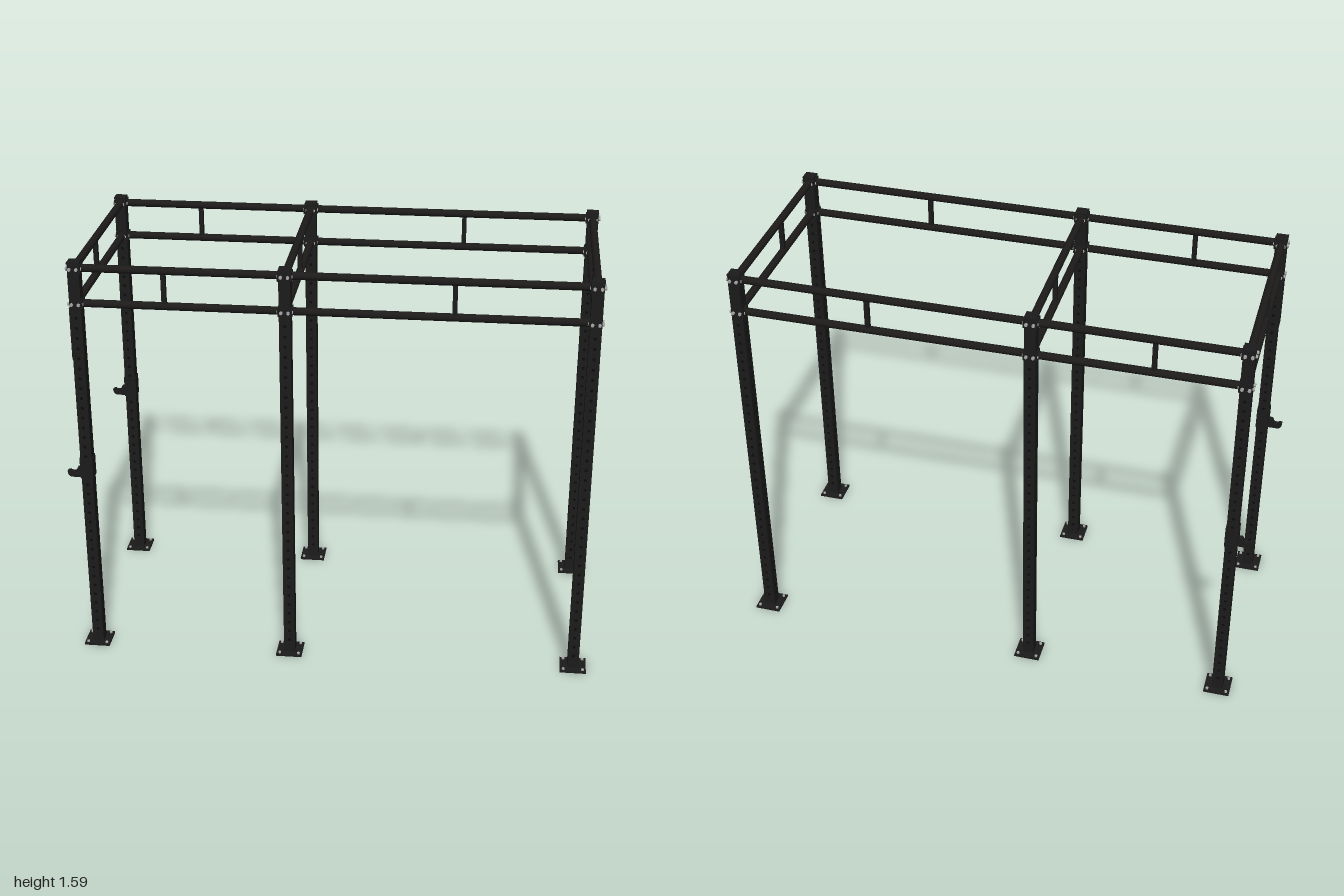
import * as THREE from 'three';

export function createModel() {
  const model = new THREE.Group();
  const mat = (name, color) => {
    const m = new THREE.MeshStandardMaterial({ color });
    m.name = name;
    return m;
  };
  const black = mat('black steel', 0x1b1b1b);
  const tubeBlack = mat('tube black', 0x1d1a1a);
  const holeBlack = mat('hole black', 0x0c0c0c);
  const silver = mat('bolt silver', 0xa8a8a8);

  const add = (parent, name, geometry, material, x, y, z) => {
    const m = new THREE.Mesh(geometry, material);
    m.name = name;
    m.position.set(x, y, z);
    parent.add(m);
    return m;
  };
  const box = (w, h, d) => new THREE.BoxGeometry(w, h, d);

  const postXs = [-0.922, -0.157, 0.948];
  const postZs = [0.383, -0.383];
  const railYs = [1.567, 1.432];
  const W = 0.043, H = 1.59;

  // Shared geometry
  const postGeo = box(W, H, W);
  const plateGeo = box(0.1, 0.007, 0.1);
  const holeGeo = new THREE.CylinderGeometry(0.006, 0.006, W + 0.002, 10);
  const boltGeo = new THREE.CylinderGeometry(0.0065, 0.0065, W + 0.016, 6);
  const anchorGeo = new THREE.CylinderGeometry(0.006, 0.006, 0.008, 6);

  // Posts with base plates, anchors, holes and through bolts
  for (const x of postXs) for (const z of postZs) {
    const post = new THREE.Group();
    post.name = 'post';
    post.position.set(x, 0, z);
    model.add(post);
    add(post, 'upright', postGeo, black, 0, H / 2, 0);
    add(post, 'cap', box(W + 0.003, 0.006, W + 0.003), black, 0, H, 0);
    add(post, 'basePlate', plateGeo, black, 0, 0.0035, 0);
    for (const sx of [-1, 1]) for (const sz of [-1, 1]) {
      add(post, 'anchorBolt', anchorGeo, silver, sx * 0.037, 0.009, sz * 0.037);
    }
    for (let y = 0.06; y < 1.4; y += 0.04) {
      add(post, 'holeAcross', holeGeo, holeBlack, 0, y, 0).rotation.z = Math.PI / 2;
      add(post, 'holeThrough', holeGeo, holeBlack, 0, y, 0).rotation.x = Math.PI / 2;
    }
    for (const y of railYs) for (const s of [-1, 1]) {
      add(post, 'boltAcross', boltGeo, silver, 0, y, s * 0.013).rotation.z = Math.PI / 2;
      add(post, 'boltThrough', boltGeo, silver, s * 0.013, y, 0).rotation.x = Math.PI / 2;
    }
  }

  // Pair of round rails along local x, with end flanges and a strut
  const beam = (name, length, strutAt) => {
    const g = new THREE.Group();
    g.name = name;
    const tube = new THREE.CylinderGeometry(0.0145, 0.0145, length - W, 20);
    for (const y of railYs) {
      add(g, 'rail', tube, tubeBlack, 0, y, 0).rotation.z = Math.PI / 2;
      for (const s of [-1, 1]) {
        add(g, 'flange', box(0.005, 0.034, W), black, s * (length / 2 - W / 2 - 0.0025), y, 0);
      }
    }
    const gap = railYs[0] - railYs[1];
    add(g, 'strut', box(0.017, gap - 0.02, 0.017), black, strutAt, railYs[1] + gap / 2, 0);
    model.add(g);
    return g;
  };

  // Long sides
  const strutXs = [-0.598, 0.45];
  for (const z of postZs) for (let i = 0; i < 2; i++) {
    const mid = (postXs[i] + postXs[i + 1]) / 2;
    const b = beam('sideBeam', postXs[i + 1] - postXs[i], strutXs[i] - mid);
    b.position.set(mid, 0, z);
  }

  // Cross beams
  const strutZs = [0.06, -0.036, 0.06];
  postXs.forEach((x, i) => {
    const b = beam('crossBeam', postZs[0] - postZs[1], -strutZs[i]);
    b.position.x = x;
    b.rotation.y = Math.PI / 2;
  });

  // Bar hooks on the end posts
  const hookShape = new THREE.Shape();
  hookShape.moveTo(0, -0.022);
  hookShape.lineTo(-0.035, -0.022);
  hookShape.quadraticCurveTo(-0.055, -0.022, -0.056, 0.002);
  hookShape.lineTo(-0.046, 0.005);
  hookShape.quadraticCurveTo(-0.036, -0.004, -0.024, 0.002);
  hookShape.lineTo(-0.016, 0.018);
  hookShape.lineTo(0, 0.018);
  const hookGeo = new THREE.ExtrudeGeometry(hookShape, { depth: 0.018, bevelEnabled: false, curveSegments: 8 });
  hookGeo.translate(0, 0, -0.009);
  for (const z of postZs) {
    const hook = new THREE.Group();
    hook.name = 'barHook';
    hook.position.set(postXs[0], 0, z);
    add(hook, 'sleeve', box(0.049, 0.085, 0.049), black, 0, 0.77, 0);
    add(hook, 'cradle', hookGeo, black, -0.022, 0.747, 0);
    model.add(hook);
  }

  // Plain plate on the outer face of the front end post
  add(model, 'sidePlate', box(0.004, 0.2, 0.034), black, postXs[0] - W / 2 - 0.002, 1.315, postZs[0]);

  return model;
}
